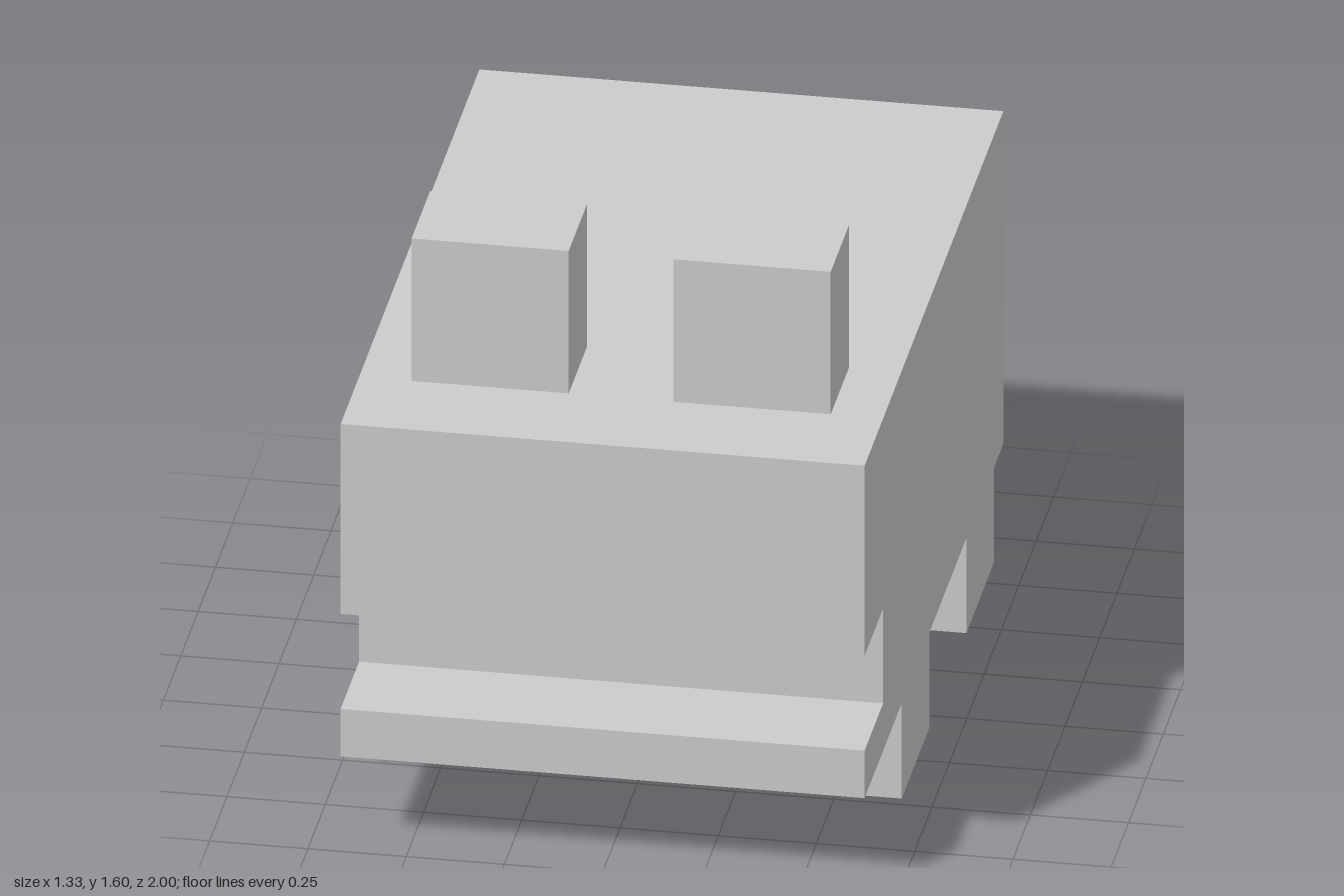
import * as THREE from 'three';

const U = 2 / 30; // the whole model sits on a grid of 30 units per length

export function createModel() {
  const model = new THREE.Group();
  const material = new THREE.MeshStandardMaterial({ color: 0xcccccc, flatShading: true });

  const add = (name, geometry, x = 0, y = 0, z = 0) => {
    const mesh = new THREE.Mesh(geometry, material);
    mesh.name = name;
    mesh.position.set(x * U, y * U, z * U);
    model.add(mesh);
    return mesh;
  };

  // Body: side profile as [z, y] with the mouth slot cut into the front
  const profile = [
    [-15, 4], [15, 4], [15, 6], [11, 6], [11, 10], [15, 10], [15, 18], [-15, 18],
  ].map(([z, y]) => new THREE.Vector2(-z * U, y * U));
  const body = new THREE.ExtrudeGeometry(new THREE.Shape(profile), {
    depth: 20 * U,
    bevelEnabled: false,
  });
  body.translate(0, 0, -10 * U).rotateY(Math.PI / 2);
  add('body', body);

  // Ears and legs, mirrored left and right
  const ear = new THREE.BoxGeometry(6 * U, 6 * U, 4 * U);
  const leg = new THREE.BoxGeometry(6 * U, 4 * U, 6 * U);
  for (const [side, s] of [['left', 1], ['right', -1]]) {
    add(`${side}Ear`, ear, s * 5, 21, 9);
    add(`${side}FrontLeg`, leg, s * 7, 2, 4);
    add(`${side}BackLeg`, leg, s * 7, 2, -10);
  }

  return model;
}
